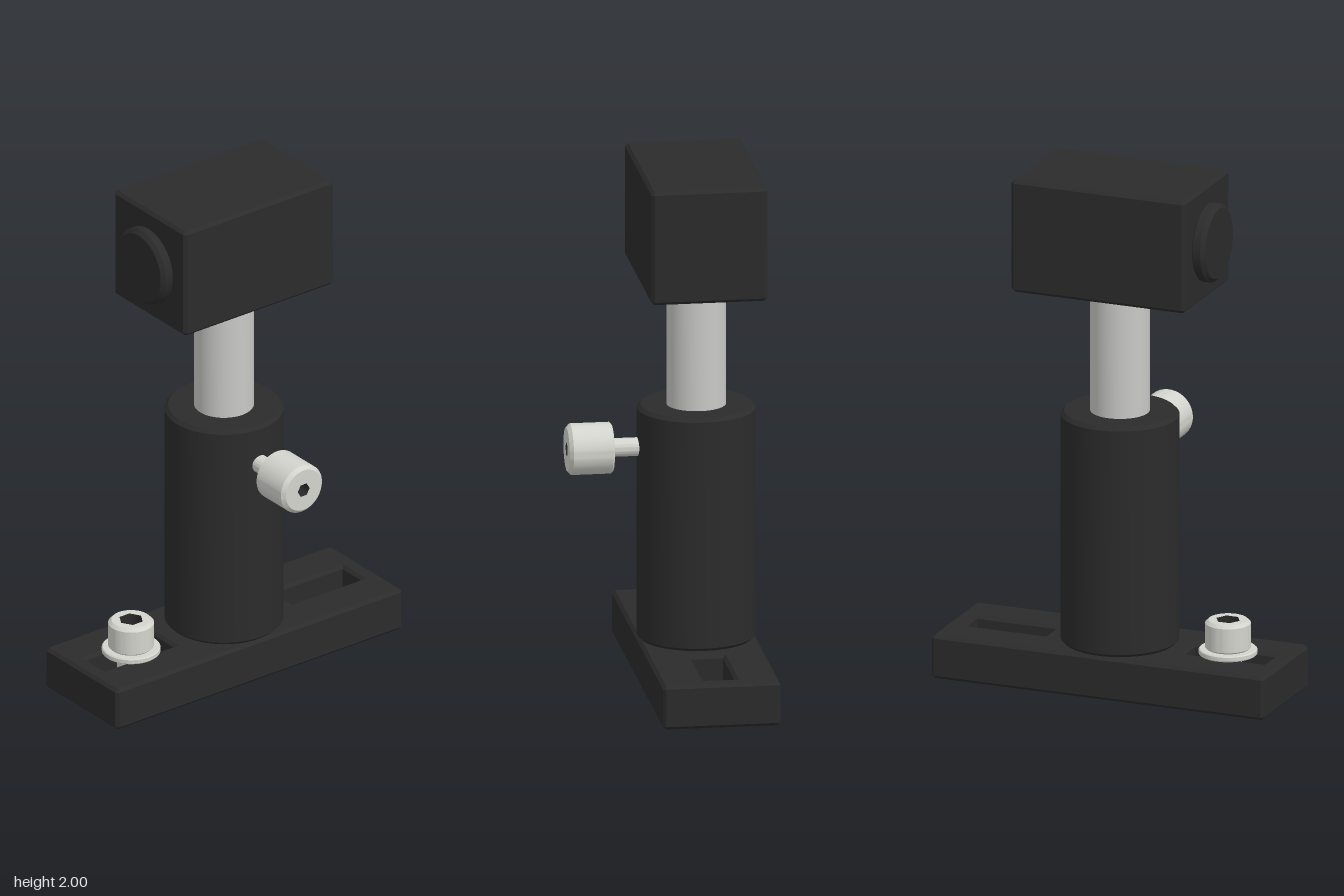
import * as THREE from 'three';
import { toCreasedNormals } from 'three/addons/utils/BufferGeometryUtils.js';

const mat = (name, color, side = THREE.FrontSide) => {
  const m = new THREE.MeshStandardMaterial({ color, side });
  m.name = name;
  return m;
};
const AXIS_Z = -0.133; // depth of the main post axis

// Vertical solid of revolution from [radius, y] pairs, bottom to top
function turned(name, points, material) {
  const geo = new THREE.LatheGeometry(points.map(([r, y]) => new THREE.Vector2(r, y)), 64);
  const mesh = new THREE.Mesh(toCreasedNormals(geo, 0.35), material);
  mesh.name = name;
  return mesh;
}

// Cylinder with chamfered rims
const rod = (name, r, y0, y1, c, material) => turned(name,
  [[0, y0], [r - c, y0], [r, y0 + c], [r, y1 - c], [r - c, y1], [0, y1]], material);

// Block with chamfered edges, optionally pierced vertically by slots [x0, x1, halfWidth]
function block(name, w, h, d, c, material, slots = []) {
  const x = w / 2, z = d / 2;
  const shape = new THREE.Shape([
    [x - c, -z], [x, -z + c], [x, z - c], [x - c, z],
    [-x + c, z], [-x, z - c], [-x, -z + c], [-x + c, -z],
  ].map(([a, b]) => new THREE.Vector2(a, b)));
  for (const [x0, x1, s] of slots) {
    shape.holes.push(new THREE.Path([
      [x0, -s], [x0, s], [x1, s], [x1, -s],
    ].map(([a, b]) => new THREE.Vector2(a, b))));
  }
  const geo = new THREE.ExtrudeGeometry(shape, {
    depth: h - 2 * c, bevelThickness: c, bevelSize: c, bevelOffset: -c, bevelSegments: 1,
  });
  geo.rotateX(-Math.PI / 2).translate(0, c, 0);
  const mesh = new THREE.Mesh(geo, material);
  mesh.name = name;
  return mesh;
}

// Round cap standing on y = 0 with a hexagonal socket sunk into its top
function socketCap(name, r, h, c, hexR, depth, metal, dark) {
  const group = new THREE.Group();
  group.name = name;
  group.add(turned(name + 'Side',
    [[0, 0], [r - c / 2, 0], [r, c / 2], [r, h - c], [r - c, h]], metal));

  const top = new THREE.Shape().absarc(0, 0, r - c, 0, Math.PI * 2);
  const hex = [];
  for (let i = 0; i < 6; i++) {
    const a = i * Math.PI / 3;
    hex.push(new THREE.Vector2(Math.cos(a) * hexR, Math.sin(a) * hexR));
  }
  top.holes.push(new THREE.Path(hex));
  const face = new THREE.Mesh(new THREE.ShapeGeometry(top, 32).rotateX(-Math.PI / 2), metal);
  face.name = name + 'Face';
  face.position.y = h;

  const walls = new THREE.Mesh(
    new THREE.CylinderGeometry(hexR, hexR, depth, 6, 1, true).rotateY(Math.PI / 6), dark);
  walls.name = name + 'SocketWalls';
  walls.position.y = h - depth / 2;
  const floor = new THREE.Mesh(new THREE.CircleGeometry(hexR, 6).rotateX(-Math.PI / 2), dark);
  floor.name = name + 'SocketFloor';
  floor.position.y = h - depth;
  group.add(face, walls, floor);
  return group;
}

export function createModel() {
  const black = mat('black anodised', 0x2b2b2b);
  const steel = mat('post steel', 0xc8c8c6);
  const bright = mat('screw steel', 0xd4d4ce);
  const socket = mat('socket dark', 0x2a2a2a, THREE.DoubleSide);

  const model = new THREE.Group();
  model.name = 'postMount';

  // Everything sharing the post axis
  const column = new THREE.Group();
  column.name = 'column';
  column.position.z = AXIS_Z;
  model.add(column);

  // Slotted base plate
  const base = block('basePlate', 1.35, 0.17, 0.445, 0.012, black,
    [[0.28, 0.605, 0.06], [-0.605, -0.28, 0.06]]);

  // Holder tube, post and the stud joining the post to the head
  const holder = rod('postHolder', 0.223, 0.168, 1.075, 0.014, black);
  const post = rod('post', 0.112, 1.0, 1.555, 0.008, steel);
  const stud = rod('headStud', 0.04, 1.54, 1.58, 0.002, steel);

  // Head block with a round port on its right side
  const head = block('headBlock', 0.705, 0.44, 0.44, 0.012, black);
  head.position.y = 1.56;
  const port = rod('portRing', 0.15, 0, 0.06, 0.015, black);
  port.rotation.z = Math.PI / 2;
  port.position.set(-0.342, 1.78, 0);
  column.add(base, holder, post, stud, head, port);

  // Clamping screw with washer in the right slot
  const screw = new THREE.Group();
  screw.name = 'baseScrew';
  screw.position.x = -0.438;
  const cap = socketCap('screwHead', 0.086, 0.112, 0.012, 0.047, 0.06, bright, socket);
  cap.position.y = 0.193;
  screw.add(rod('washer', 0.11, 0.17, 0.193, 0.004, bright), cap,
    rod('screwShank', 0.052, 0.08, 0.18, 0.006, bright));
  column.add(screw);

  // Thumbscrew on the front of the holder
  const thumb = new THREE.Group();
  thumb.name = 'thumbScrew';
  thumb.position.set(0, 0.915, 0.187);
  thumb.rotation.x = Math.PI / 2;
  thumb.add(rod('thumbScrewStem', 0.035, -0.15, 0.01, 0.002, bright),
    socketCap('thumbScrewKnob', 0.097, 0.17, 0.014, 0.028, 0.06, bright, socket));
  model.add(thumb);

  return model;
}
